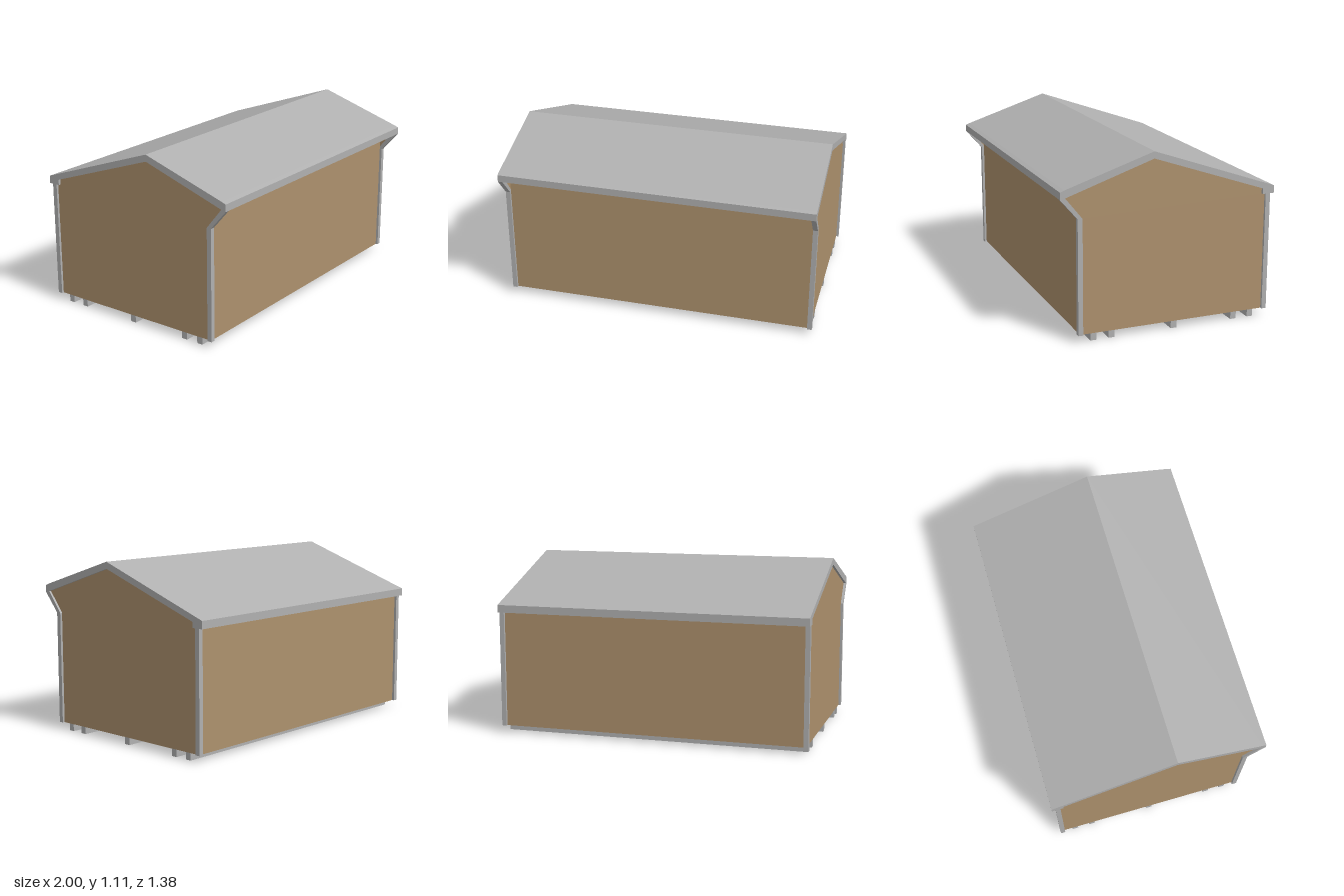
import * as THREE from 'three';

export function createModel() {
  const model = new THREE.Group();
  const grey = new THREE.MeshStandardMaterial({ color: 0xb0b0b0 });
  grey.name = 'grey trim';
  const brown = new THREE.MeshStandardMaterial({ color: 0xad916d });
  brown.name = 'brown cladding';

  const add = (name, geometry, material) => {
    const mesh = new THREE.Mesh(geometry, material);
    mesh.name = name;
    model.add(mesh);
    return mesh;
  };

  // Box given by its limits on each axis
  const box = (name, material, [x0, x1], [y0, y1], [z0, z1]) => {
    const mesh = add(name, new THREE.BoxGeometry(x1 - x0, y1 - y0, z1 - z0), material);
    mesh.position.set((x0 + x1) / 2, (y0 + y1) / 2, (z0 + z1) / 2);
  };

  // Side profile of [z, y] points, extruded along x
  const prism = (name, material, profile, x0, x1) => {
    const shape = new THREE.Shape(profile.map(([z, y]) => new THREE.Vector2(-z, y)));
    const geometry = new THREE.ExtrudeGeometry(shape, { depth: x1 - x0, bevelEnabled: false });
    geometry.rotateY(Math.PI / 2);
    geometry.translate(x0, 0, 0);
    add(name, geometry, material);
  };

  const floor = 0.045;

  // Roof slab with eave fascias
  prism('roof', grey, [
    [0.69, 0.88], [0.69, 0.925], [0.665, 0.935], [0.11, 1.113], [-0.685, 0.833],
    [-0.685, 0.785], [-0.61, 0.785], [-0.61, 0.82], [0.11, 1.07], [0.66, 0.888],
  ], -1, 1);

  // Ceiling lining under the roof
  prism('ceiling', brown, [
    [0.56, 0.92], [0.11, 1.069], [-0.61, 0.819], [-0.61, 0.812], [0.11, 1.062], [0.56, 0.913],
  ], -0.972, 0.972);

  // Long walls
  box('frontWall', brown, [-0.972, 0.972], [floor, 0.917], [0.555, 0.57]);
  box('backWall', brown, [-0.972, 0.972], [floor, 0.79], [-0.645, -0.63]);

  for (const side of [-1, 1]) {
    const span = (a, b) => (side > 0 ? [a, b] : [-b, -a]);

    // Gable wall with the forward overhang
    prism('gableWall', brown, [
      [0.56, floor], [0.56, 0.755], [0.66, 0.889], [0.11, 1.07],
      [-0.61, 0.82], [-0.61, 0.786], [-0.635, 0.786], [-0.635, floor],
    ], ...span(0.97, 0.985));

    // Corner posts
    box('backPost', grey, span(0.97, 1), [floor, 0.788], [-0.66, -0.63]);
    box('frontPost', grey, span(0.97, 1), [floor, 0.757], [0.555, 0.585]);

    // Slanted bracket under the front overhang
    prism('eaveBracket', grey, [
      [0.555, 0.757], [0.585, 0.757], [0.69, 0.88], [0.66, 0.889],
    ], ...span(0.97, 1));
  }

  // Ground bearers
  for (const z of [0.485, 0.37, -0.035, -0.44, -0.555]) {
    box('bearer', grey, [-0.985, 0.985], [0, floor], [z - 0.019, z + 0.019]);
  }

  return model;
}
